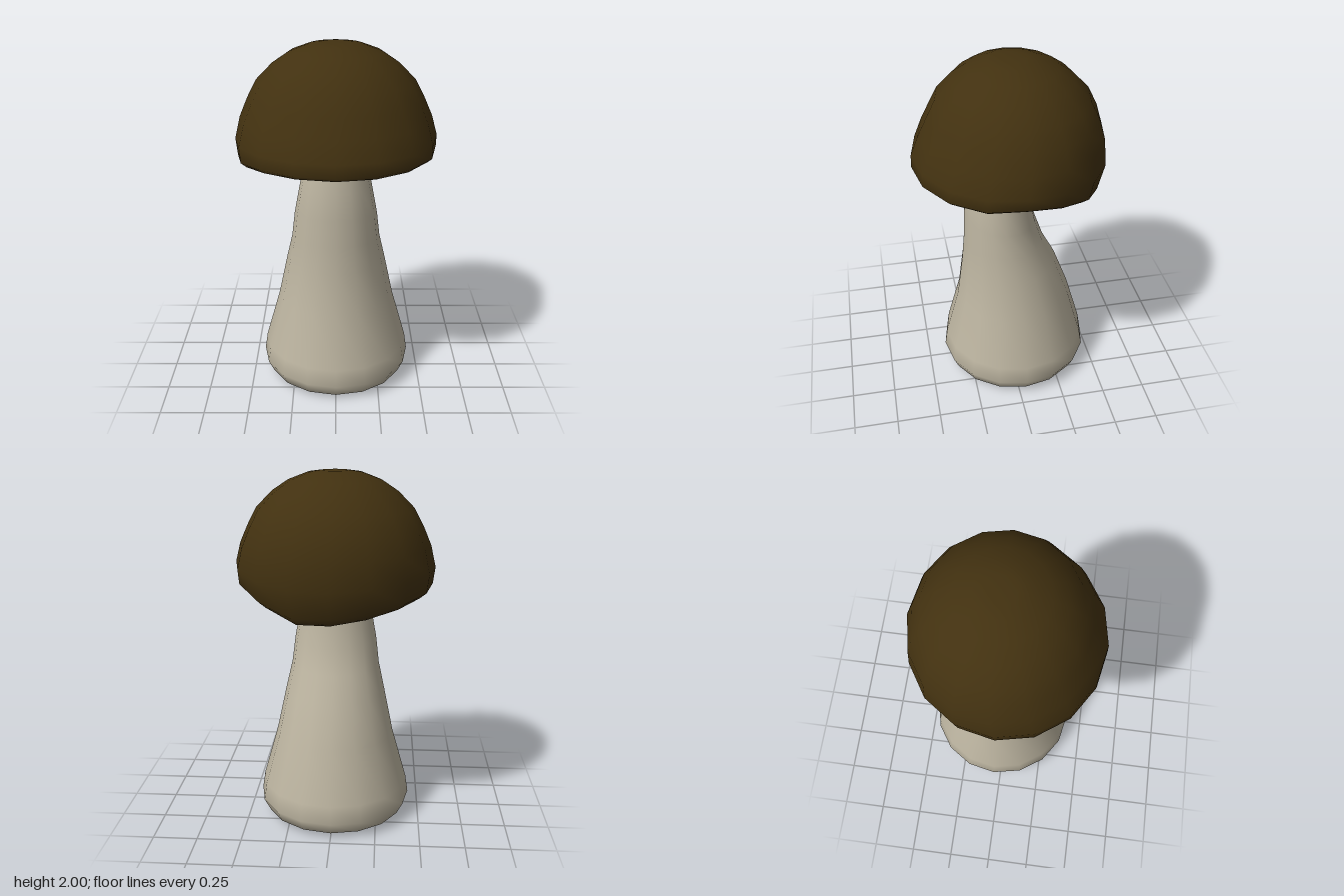
import * as THREE from 'three';

const SIDES = 16;

// Skin a list of rings (bottom to top); point(ring, side, angle) gives a position.
function loft(rings, point) {
  const positions = [], index = [];
  rings.forEach((ring, i) => {
    for (let j = 0; j < SIDES; j++) {
      positions.push(...point(ring, j, (j / SIDES) * Math.PI * 2));
      if (i === rings.length - 1) continue;
      const k = (j + 1) % SIDES;
      const a = i * SIDES + j, b = i * SIDES + k;
      index.push(a, b, a + SIDES, b, b + SIDES, a + SIDES);
    }
  });
  const geometry = new THREE.BufferGeometry();
  geometry.setAttribute('position', new THREE.Float32BufferAttribute(positions, 3));
  geometry.setIndex(index);
  geometry.computeVertexNormals();
  return geometry;
}

// Stalk ring: [height, half width, front z, back z, tilt]
const stalkPoint = ([y, rx, front, back, tilt = 0], j, a) => {
  const dz = Math.cos(a) * (front - back) / 2;
  return [Math.sin(a) * rx, y + dz * tilt, (front + back) / 2 + dz];
};

export function createModel() {
  const model = new THREE.Group();
  const cream = new THREE.MeshStandardMaterial({ color: 0xbcb4a0 });
  cream.name = 'cream stalk';
  const brown = new THREE.MeshStandardMaterial({ color: 0x423110 });
  brown.name = 'dark brown cap';

  const add = (name, geometry, material) => {
    const mesh = new THREE.Mesh(geometry, material);
    mesh.name = name;
    model.add(mesh);
  };

  // Stalk: broad rounded foot, leaning forward as it narrows
  add('stalk', loft([
    [0, 0, -0.03, -0.03],
    [0, 0.2, 0.16, -0.24],
    [0.002, 0.34, 0.31, -0.38],
    [0.03, 0.405, 0.37, -0.445],
    [0.1, 0.44, 0.40, -0.48],
    [0.2, 0.425, 0.385, -0.462],
    [0.5, 0.34, 0.305, -0.375],
    [0.75, 0.287, 0.27, -0.285, 0.04],
    [0.9, 0.253, 0.256, -0.21, 0.08],
    [1.05, 0.235, 0.25, -0.16, 0.12],
    [1.2, 0.207, 0.235, -0.13, 0.15],
    [1.32, 0.184, 0.207, -0.112, 0.17],
  ], stalkPoint), cream);

  // Collar where the stalk enters the cap
  add('collar', loft([
    [1.32, 0.184, 0.207, -0.112, 0.17],
    [1.40, 0.166, 0.197, -0.108, 0.12],
    [1.52, 0.16, 0.19, -0.105],
  ], stalkPoint), brown);

  // Cap: dome with a hollow underside; the rim sags towards the back
  const sag = [0, 0, 0, 0, -0.015, 0.02, 0.09, 0.16, 0.155, 0.125, 0.09, 0.065, 0.05, 0.03, 0.005, 0];
  // Cap ring: [height, radius, share of sag, share of inward curl]
  add('cap', loft([
    [1.49, 0, 0, 0],
    [1.48, 0.2, 0, 0],
    [1.45, 0.38, 0.35, 0.5],
    [1.41, 0.49, 0.85, 1],
    [1.398, 0.53, 1, 1],
    [1.42, 0.557, 0.85, 0.45],
    [1.49, 0.56, 0.35, 0],
    [1.6, 0.531, 0.08, 0],
    [1.7, 0.487, 0, 0],
    [1.8, 0.434, 0, 0],
    [1.89, 0.345, 0, 0],
    [1.95, 0.255, 0, 0],
    [1.99, 0.15, 0, 0],
    [2, 0.08, 0, 0],
    [2, 0, 0, 0],
  ], ([y, r, droop, curl], j, a) => {
    const s = r * (1 - curl * Math.max(sag[j], 0) * 0.7);
    // upper dome drifts slightly backwards
    const shift = -0.03 * Math.min(1, Math.max(0, (y - 1.45) / 0.2));
    return [Math.sin(a) * s, y - droop * sag[j], Math.cos(a) * s * 0.945 + shift];
  }), brown);

  return model;
}
